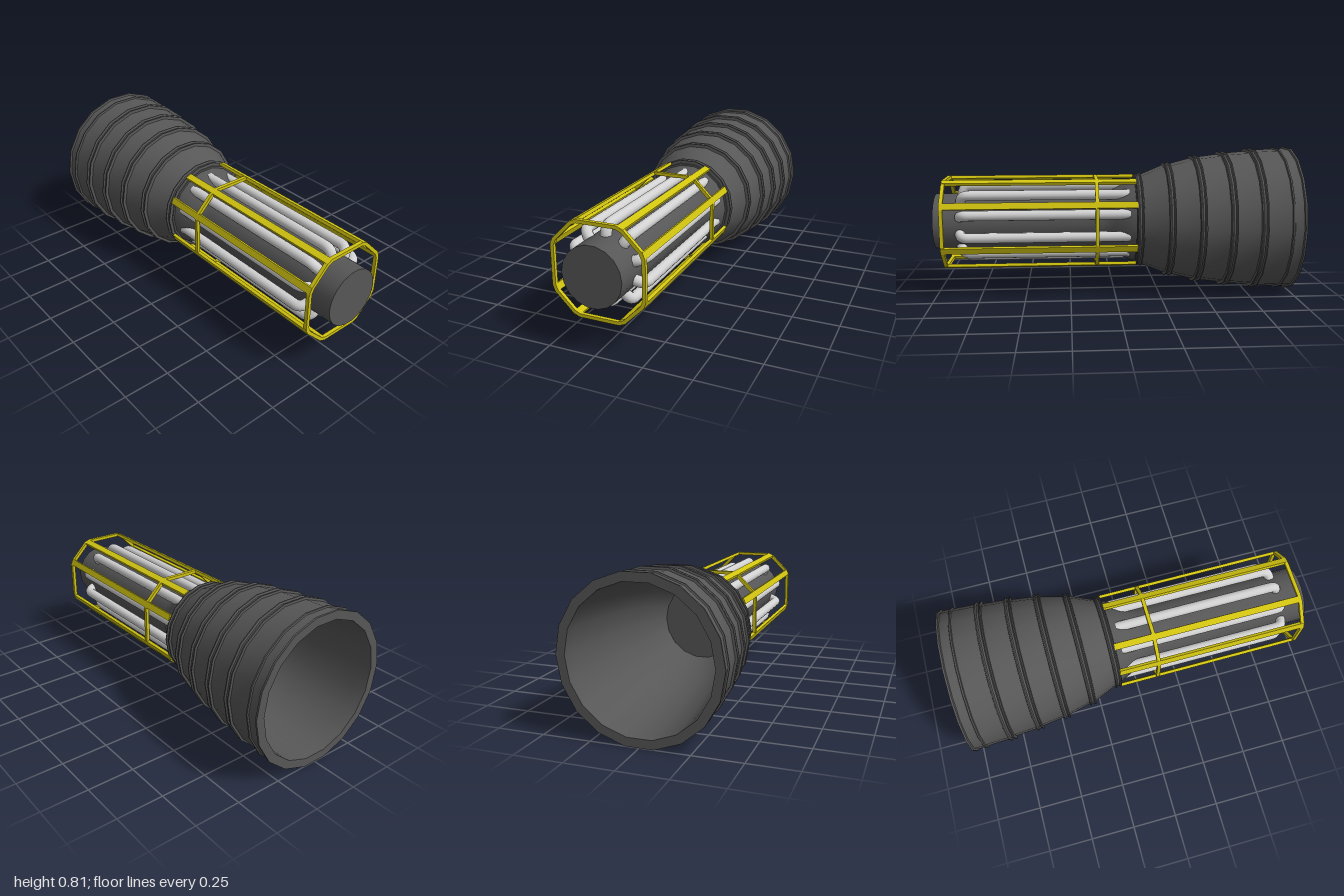
import * as THREE from 'three';
import { toCreasedNormals } from 'three/addons/utils/BufferGeometryUtils.js';

const AXIS_Y = 0.407;
const SIDES = 18;

// Turned shape around the z axis; profile entries are [z, radius]
function turned(profile) {
  const pts = profile.map(([z, r]) => new THREE.Vector2(r, z));
  const geo = new THREE.LatheGeometry(pts, SIDES, Math.PI / 2);
  geo.rotateX(Math.PI / 2);
  return toCreasedNormals(geo, 0.5);
}

export function createModel() {
  const dark = new THREE.MeshStandardMaterial({ color: 0x575757 });
  dark.name = 'dark metal';
  const yellow = new THREE.MeshStandardMaterial({ color: 0xd2c510 });
  yellow.name = 'yellow paint';
  const pale = new THREE.MeshStandardMaterial({ color: 0xd2d2d2 });
  pale.name = 'pale pipe';

  const model = new THREE.Group();
  model.name = 'rocketEngine';
  const engine = new THREE.Group();
  engine.name = 'engine';
  engine.position.y = AXIS_Y;
  model.add(engine);

  const add = (parent, name, geo, mat) => {
    const mesh = new THREE.Mesh(geo, mat);
    mesh.name = name;
    parent.add(mesh);
    return mesh;
  };

  // Core cylinder flaring into the nozzle
  add(engine, 'core', turned([
    [-0.14, 0.245], [-0.1, 0.235], [-0.05, 0.213], [0, 0.183],
    [0.03, 0.167], [0.07, 0.157], [1, 0.157], [1, 0],
  ]), dark);

  // Hollow nozzle bell with grooved double-flange rings
  const bell = [[-0.93, 0.4], [-0.78, 0.39], [-0.62, 0.374], [-0.46, 0.352], [-0.3, 0.314], [-0.135, 0.254]];
  const outer = [[-1, 0.412], [-0.99, 0.412], [-0.986, 0.402], [-0.937, 0.402], [-0.934, 0.409], [-0.926, 0.409], [-0.923, 0.399]];
  bell.slice(1).forEach(([z, r]) => {
    outer.push(
      [z - 0.019, r + 0.003], [z - 0.017, r + 0.015], [z - 0.011, r + 0.015], [z - 0.005, r + 0.006],
      [z + 0.005, r + 0.006], [z + 0.011, r + 0.013], [z + 0.017, r + 0.013], [z + 0.019, r - 0.004],
    );
  });
  const inner = bell.slice().reverse().map(([z, r]) => [z, r - 0.038]);
  add(engine, 'nozzle', turned([
    [-0.145, 0], [-0.145, 0.21], ...inner.slice(1), [-1, 0.366], ...outer, [-0.112, 0.248], [-0.112, 0.2],
  ]), dark);

  // Ten coolant pipes bending into the core at the front
  const path = new THREE.CurvePath();
  const v = (y, z) => new THREE.Vector3(0, y, z);
  path.add(new THREE.LineCurve3(v(0.2, -0.08), v(0.2, 0.805)));
  path.add(new THREE.QuadraticBezierCurve3(v(0.2, 0.805), v(0.2, 0.853), v(0.14, 0.853)));
  const pipePoints = [v(0.2, -0.08), v(0.2, 0.3), v(0.2, 0.78), ...path.curves[1].getPoints(6)];
  const pipeGeo = new THREE.TubeGeometry(
    new THREE.CatmullRomCurve3(pipePoints, false, 'centripetal'), 72, 0.028, 14);
  const pipes = new THREE.Group();
  pipes.name = 'coolantPipes';
  engine.add(pipes);
  for (let i = 0; i < 10; i++) {
    add(pipes, 'coolantPipe', pipeGeo, pale).rotation.z = (i * Math.PI) / 5;
  }

  // Yellow cage: two eight-sided hoops joined by eight rails
  const cage = new THREE.Group();
  cage.name = 'cage';
  engine.add(cage);
  const outline = (a, b, c, d) => {
    const pts = [];
    for (let q = 0; q < 4; q++) {
      for (const [x, y] of [[b, a], [d, c], [c, d], [a, b]]) {
        pts.push(new THREE.Vector2(x, y).rotateAround(new THREE.Vector2(), (q * Math.PI) / 2));
      }
    }
    return pts;
  };
  const hoopShape = new THREE.Shape(outline(0.103, 0.247, 0.137, 0.234));
  hoopShape.holes.push(new THREE.Path(outline(0.1, 0.229, 0.128, 0.217).reverse()));
  const hoopGeo = new THREE.ExtrudeGeometry(hoopShape, { depth: 0.02, bevelEnabled: false });
  for (const z of [0.927, 0.092]) add(cage, 'hoop', hoopGeo, yellow).position.z = z;

  const railGeo = new THREE.BoxGeometry(0.017, 0.036, 1.065);
  for (let q = 0; q < 4; q++) {
    for (const side of [-1, 1]) {
      const pos = new THREE.Vector2(0.232, 0.12 * side).rotateAround(new THREE.Vector2(), (q * Math.PI) / 2);
      const rail = add(cage, 'rail', railGeo, yellow);
      rail.position.set(pos.x, pos.y, 0.414);
      rail.rotation.z = (q * Math.PI) / 2 + side * Math.PI / 8;
    }
  }
  return model;
}
